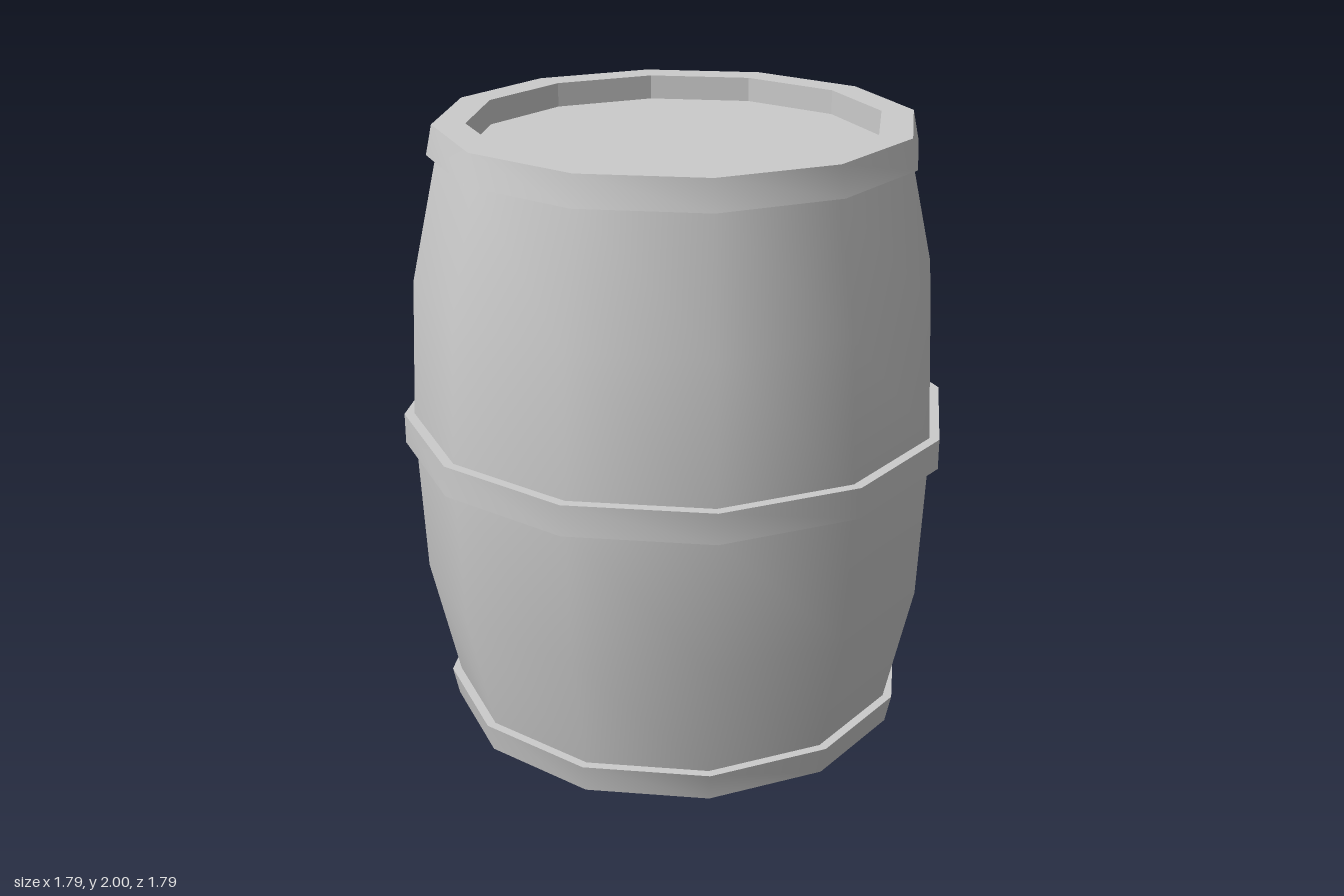
import * as THREE from 'three';
import { toCreasedNormals } from 'three/addons/utils/BufferGeometryUtils.js';

const SIDES = 12;
const smooth = new THREE.MeshStandardMaterial({ color: 0xcccccc });
const flat = new THREE.MeshStandardMaterial({ color: 0xcccccc, flatShading: true });

// Revolve a [radius, height] profile; faces look outward when it runs upward
function ring(name, profile, material = smooth) {
  const points = profile.map(([r, y]) => new THREE.Vector2(r, y));
  const geometry = toCreasedNormals(new THREE.LatheGeometry(points, SIDES), 0.7);
  const mesh = new THREE.Mesh(geometry, material);
  mesh.name = name;
  return mesh;
}

// One barrel end, measured from the barrel's middle: hoop, rim, recess and head
function barrelEnd(name) {
  const end = new THREE.Group();
  end.name = name;
  end.add(ring('endHoop', [[0.745, 0.905], [0.78, 0.905], [0.76, 1], [0.655, 1]]));
  end.add(ring('recessWall', [[0.655, 1], [0.655, 0.92]], flat));
  const head = new THREE.Mesh(new THREE.CircleGeometry(0.655, SIDES), smooth);
  head.name = 'head';
  head.rotation.x = -Math.PI / 2;
  head.position.y = 0.92;
  end.add(head);
  return end;
}

export function createModel() {
  const barrel = new THREE.Group();
  barrel.name = 'barrel';

  // Bulging body
  barrel.add(ring('body', [
    [0.75, 0.095], [0.84, 0.5], [0.86, 0.95], [0.86, 1.05], [0.84, 1.5], [0.75, 1.905],
  ]));

  // Middle hoop
  barrel.add(ring('middleHoop', [[0.855, 0.95], [0.893, 0.95], [0.893, 1.05], [0.855, 1.05]]));

  // Matching ends, the lower one turned over
  const top = barrelEnd('topEnd');
  const bottom = barrelEnd('bottomEnd');
  bottom.rotation.x = Math.PI;
  for (const end of [top, bottom]) {
    end.position.y = 1;
    barrel.add(end);
  }
  return barrel;
}
